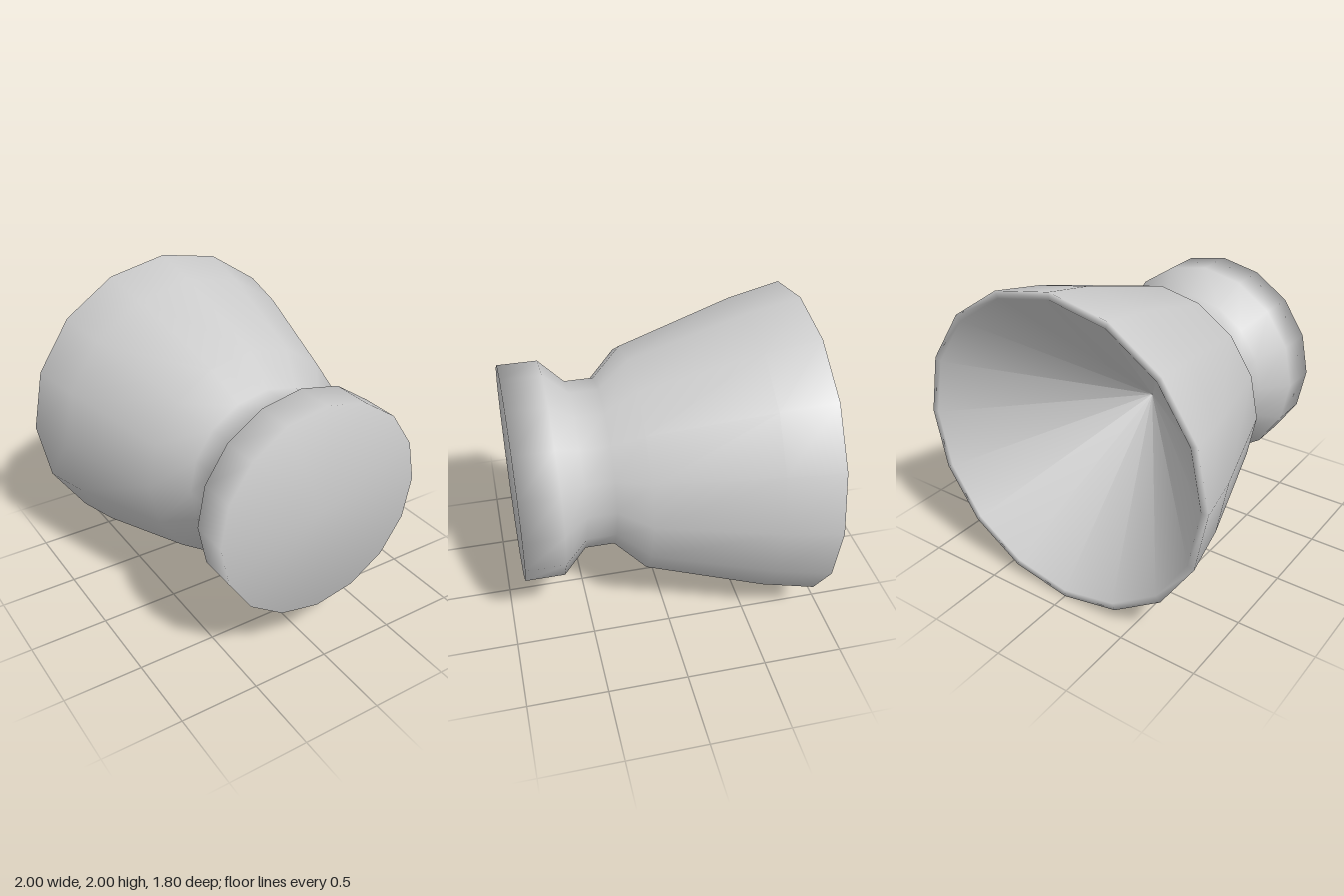
import * as THREE from 'three';

const SIDES = 16;

// [radius, z] profile, from the inside of the bell over its lip to the front cap
const PROFILE = [
  [0, 0.05],      // bottom of the hollow
  [0.955, -0.9],  // inner lip
  [1, -0.9],      // outer lip
  [0.93, -0.57],  // flare
  [0.707, 0.15],  // shoulder
  [0.53, 0.33],   // neck
  [0.53, 0.51],
  [0.675, 0.66],  // head
  [0.675, 0.905],
  [0, 0.905],     // front cap
];

export function createModel() {
  const group = new THREE.Group();
  group.name = 'flaredCup';

  const grey = new THREE.MeshStandardMaterial({ color: 0xcccccc });
  grey.name = 'light grey';

  // One smooth turned body, its axis laid along z
  const points = PROFILE.map(([r, z]) => new THREE.Vector2(r, z));
  const geometry = new THREE.LatheGeometry(points, SIDES);
  geometry.rotateX(Math.PI / 2);

  const body = new THREE.Mesh(geometry, grey);
  body.name = 'turnedBody';
  body.position.y = 1;
  group.add(body);
  return group;
}
